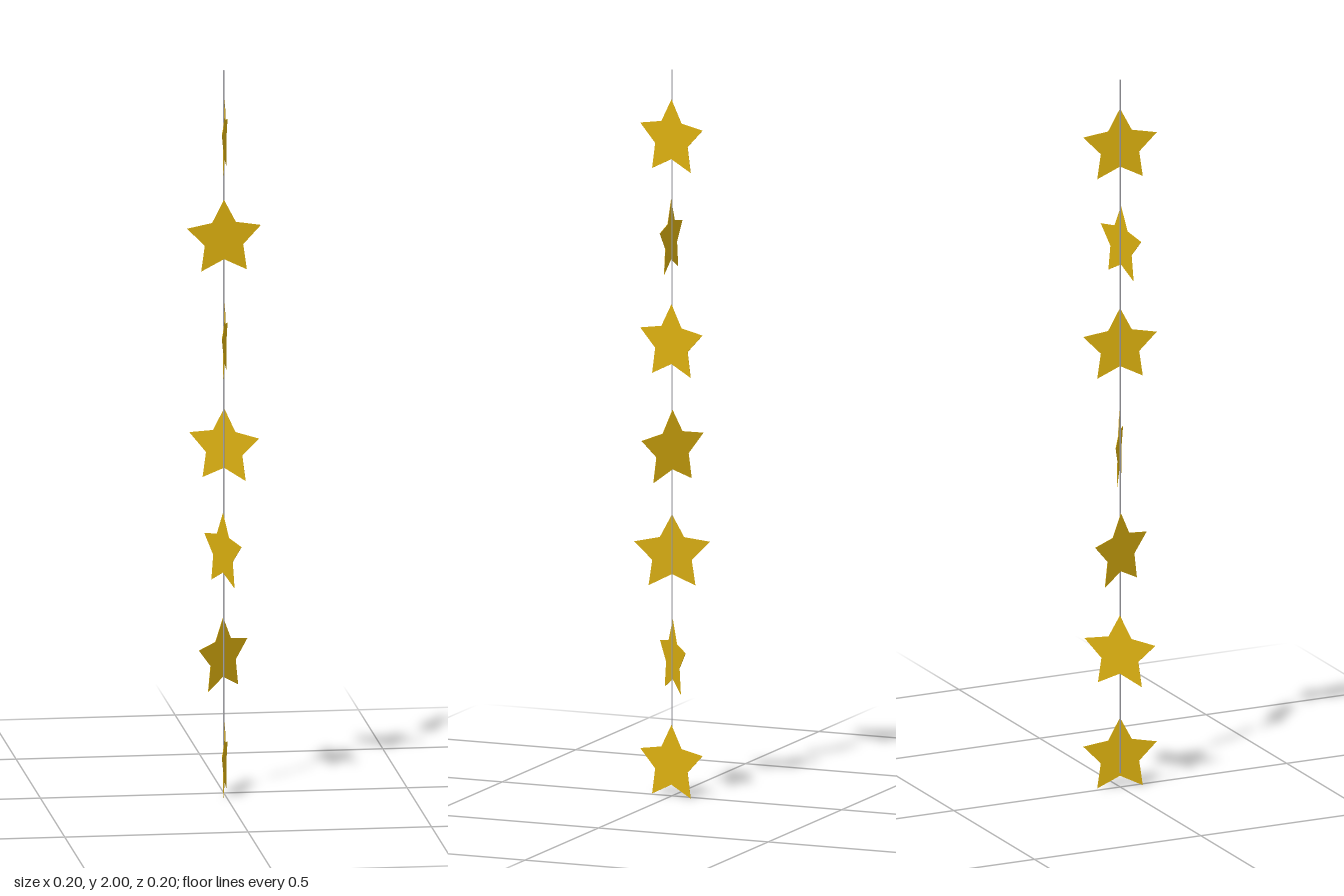
import * as THREE from 'three';

const R = 0.108;          // star tip radius
const THICK = 0.001;      // star sheet thickness
const CORD = 0.002;       // cord radius

// Upright five-pointed star outline
function starShape() {
  const points = [];
  for (let i = 0; i < 10; i++) {
    const a = Math.PI / 2 + (i * Math.PI) / 5;
    const r = i % 2 ? R * 0.52 : R;
    points.push(new THREE.Vector2(r * Math.cos(a), r * Math.sin(a)));
  }
  return new THREE.Shape(points);
}

export function createModel() {
  const group = new THREE.Group();
  group.name = 'starGarland';

  const gold = new THREE.MeshStandardMaterial({ color: 0xdcb00f });
  gold.name = 'gold';
  const grey = new THREE.MeshStandardMaterial({ color: 0xa4a4aa });
  grey.name = 'cordGrey';

  // Thin hanging cord
  const bottom = 0.04, top = 2;
  const cord = new THREE.Mesh(new THREE.CylinderGeometry(CORD, CORD, top - bottom, 6), grey);
  cord.name = 'cord';
  cord.position.y = (top + bottom) / 2;
  group.add(cord);

  // Thin stars from bottom to top: centre height, turn in degrees, side of the cord they rest on
  const stars = [
    [0.088, 78.4, 1], [0.378, 43, -1], [0.667, -68.4, 1], [0.956, -31.2, -1],
    [1.246, 78.4, 1], [1.534, 6.2, 1], [1.81, 78.4, 1],
  ];
  const geometry = new THREE.ExtrudeGeometry(starShape(), { depth: THICK, bevelEnabled: false });
  geometry.translate(0, 0, -THICK / 2);
  stars.forEach(([y, degrees, side], i) => {
    const star = new THREE.Mesh(geometry, gold);
    star.name = `star${i + 1}`;
    star.rotation.y = THREE.MathUtils.degToRad(degrees);
    star.position.y = y;
    star.translateZ(side * (CORD + THICK / 2));
    group.add(star);
  });

  return group;
}
